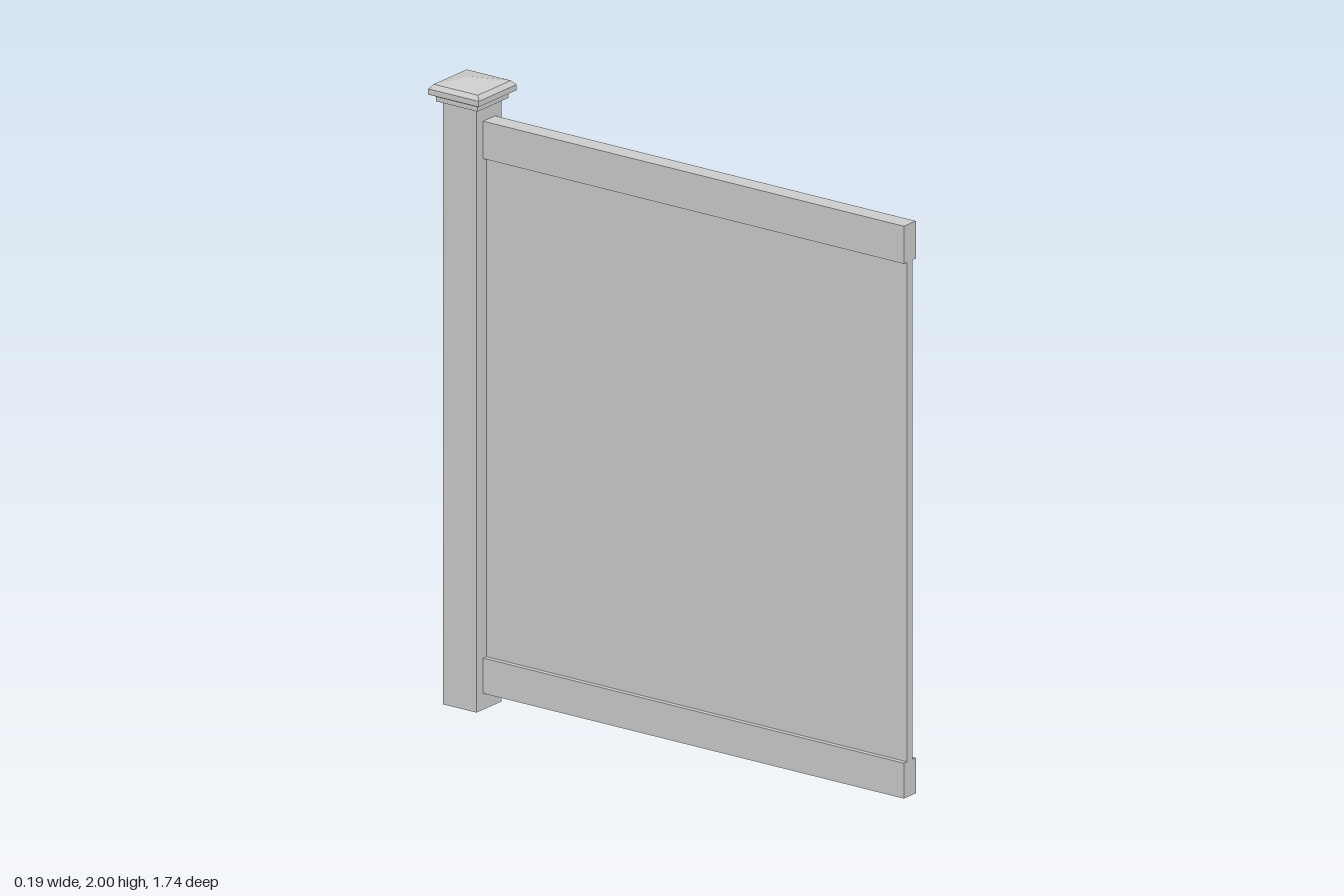
import * as THREE from 'three';

const material = new THREE.MeshStandardMaterial({ color: 0xcccccc, flatShading: true });

export function createModel() {
  const group = new THREE.Group();
  group.name = 'fencePanelWithPost';

  const add = (name, geometry, x, y, z) => {
    const mesh = new THREE.Mesh(geometry, material);
    mesh.name = name;
    mesh.position.set(x, y, z);
    group.add(mesh);
  };

  // Box spanning y0..y1 and z0..z1, centred on x = 0
  const addBar = (name, width, y0, y1, z0, z1) =>
    add(name, new THREE.BoxGeometry(width, y1 - y0, z1 - z0), 0, (y0 + y1) / 2, (z0 + z1) / 2);

  const postZ = -0.775, postHalf = 0.063;
  const postFront = postZ + postHalf, frontEnd = 0.87;

  addBar('post', postHalf * 2, 0, 1.935, postZ - postHalf, postFront);

  // Thin infill panel held between two wider rails
  addBar('panel', 0.028, 0.16, 1.765, postFront, frontEnd);
  addBar('bottomRail', 0.06, 0.052, 0.165, postFront, frontEnd);
  addBar('topRail', 0.06, 1.76, 1.88, postFront, frontEnd);

  // Square stepped cap: half widths and heights, turned in four sides
  const profile = [
    [0, 1.927], [0.078, 1.927], [0.078, 1.942], [0.095, 1.95],
    [0.095, 1.968], [0.083, 1.982], [0, 2],
  ].map(([half, y]) => new THREE.Vector2(half * Math.SQRT2, y));
  add('postCap', new THREE.LatheGeometry(profile, 4, Math.PI / 4), 0, 0, postZ);

  return group;
}
